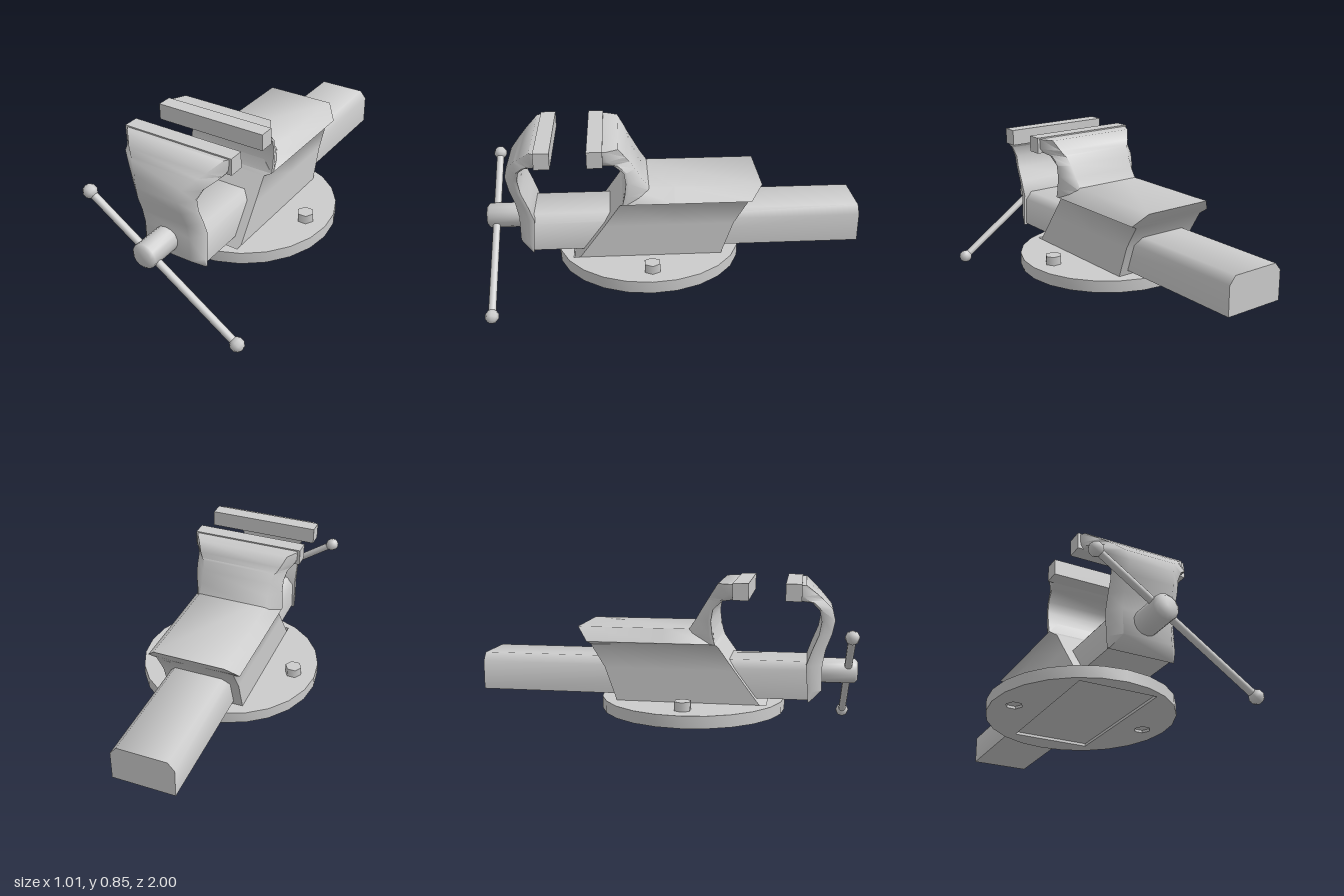
import * as THREE from 'three';
import { toCreasedNormals } from 'three/addons/utils/BufferGeometryUtils.js';

const CX = -0.0125; // centre line of the vice
const grey = new THREE.MeshStandardMaterial({ color: 0xcccccc });

function add(parent, name, geometry, x = 0, y = 0, z = 0) {
  const mesh = new THREE.Mesh(geometry, grey);
  mesh.name = name;
  mesh.position.set(x, y, z);
  parent.add(mesh);
  return mesh;
}

const points = (list) => list.map(([x, y]) => new THREE.Vector2(x, y));

// Regular polygon outline with a corner on +x
const polygon = (cx, cy, r, n) => points(Array.from({ length: n }, (_, i) => {
  const a = (i / n) * Math.PI * 2;
  return [cx + r * Math.cos(a), cy + r * Math.sin(a)];
}));

// Solid through horizontal six-sided sections [y, wideEndZ, shoulderZ, narrowEndZ, halfWidth, narrowHalfWidth]
function loft(sections, crease) {
  const rings = sections.map(([y, za, zs, zb, w, wb]) => {
    const s = Math.sign(zb - za);
    return [[w, za], [w, zs], [wb, zb], [-wb, zb], [-w, zs], [-w, za]].map(([x, z]) => [x * s, y, z]);
  });
  const pos = [];
  const tri = (a, b, c) => pos.push(...a, ...b, ...c);
  for (let r = 0; r < rings.length - 1; r++) {
    for (let i = 0; i < 6; i++) {
      const j = (i + 1) % 6, lo = rings[r], hi = rings[r + 1];
      tri(lo[i], hi[i], hi[j]);
      tri(lo[i], hi[j], lo[j]);
    }
  }
  const top = rings[rings.length - 1], bottom = rings[0];
  for (let i = 1; i < 5; i++) {
    tri(bottom[0], bottom[i], bottom[i + 1]);
    tri(top[0], top[i + 1], top[i]);
  }
  const g = new THREE.BufferGeometry();
  g.setAttribute('position', new THREE.Float32BufferAttribute(pos, 3));
  return toCreasedNormals(g, crease);
}

export function createModel() {
  const model = new THREE.Group();
  model.name = 'benchVice';

  // Round base, pierced underneath where the body and the bolts sit in it
  const disc = new THREE.Shape(polygon(0, -0.13, 0.4935, 24));
  disc.holes.push(new THREE.Path(points([[-0.2125, 0.235], [0.2125, 0.235], [0.2125, -0.535], [-0.2125, -0.535]])));
  for (const side of [-1, 1]) {
    disc.holes.push(new THREE.Path(polygon(side * 0.3725, -0.125, 0.045, 6)));
    const bolt = new THREE.CylinderGeometry(0.045, 0.045, 0.097, 6).rotateY(Math.PI / 2);
    add(model, side < 0 ? 'rightBolt' : 'leftBolt', bolt, CX + side * 0.3725, 0.2125, 0.125);
  }
  const base = new THREE.ExtrudeGeometry(disc, { depth: 0.064, bevelEnabled: false }).rotateX(-Math.PI / 2);
  add(model, 'base', toCreasedNormals(base, 0.5), CX, 0.15, 0);

  // Fixed body: sloping ends, overhanging top with bevelled long edges
  add(model, 'body', loft([
    [0.165, 0.535, 0, -0.235, 0.2125, 0.2125],
    [0.215, 0.5, 0, -0.25, 0.2125, 0.2125],
    [0.39, 0.37, 0, -0.312, 0.2125, 0.2125],
    [0.512, 0.283, 0, -0.387, 0.2125, 0.2125],
    [0.53, 0.27, 0, -0.4, 0.25, 0.25],
    [0.6, 0.255, 0, -0.46, 0.19, 0.19],
  ], 1.2), CX);

  // Fixed jaw
  add(model, 'fixedJawArm', loft([
    [0.53, 0.27, 0.25, 0.1, 0.25, 0.19],
    [0.58, 0.258, 0.24, 0.117, 0.25, 0.19],
    [0.65, 0.25, 0.235, 0.165, 0.25, 0.19],
    [0.71, 0.26, 0.245, 0.2, 0.25, 0.195],
    [0.755, 0.31, 0.29, 0.228, 0.258, 0.205],
    [0.765, 0.37, 0.315, 0.235, 0.27, 0.215],
    [0.79, 0.37, 0.34, 0.25, 0.288, 0.23],
    [0.843, 0.37, 0.35, 0.285, 0.29, 0.255],
  ], 1.1), CX);
  add(model, 'fixedJawPad', new THREE.BoxGeometry(0.606, 0.086, 0.08), CX, 0.807, 0.403);

  // Sliding bar with chamfered top corners
  const bar = new THREE.Shape(points([
    [-0.165, 0.24], [0.165, 0.24], [0.165, 0.395], [0.13, 0.436], [-0.13, 0.436], [-0.165, 0.395],
  ]));
  const barGeometry = new THREE.ExtrudeGeometry(bar, { depth: 1.755, bevelEnabled: false });
  add(model, 'slideBar', toCreasedNormals(barGeometry, 0.9), CX, 0, -1);

  // Moving jaw
  add(model, 'movingJawArm', loft([
    [0.232, 0.745, 0.75, 0.755, 0.178, 0.17],
    [0.285, 0.742, 0.765, 0.815, 0.178, 0.13],
    [0.42, 0.732, 0.76, 0.815, 0.178, 0.13],
    [0.5, 0.76, 0.78, 0.83, 0.178, 0.13],
    [0.58, 0.793, 0.812, 0.86, 0.178, 0.125],
    [0.65, 0.805, 0.825, 0.875, 0.18, 0.12],
    [0.71, 0.793, 0.805, 0.86, 0.213, 0.135],
    [0.755, 0.755, 0.765, 0.82, 0.263, 0.18],
    [0.765, 0.69, 0.735, 0.81, 0.275, 0.19],
    [0.79, 0.69, 0.715, 0.785, 0.288, 0.22],
    [0.843, 0.69, 0.705, 0.725, 0.29, 0.275],
  ], 1.1), CX);
  add(model, 'movingJawPad', new THREE.BoxGeometry(0.606, 0.086, 0.08), CX, 0.807, 0.664);

  // Screw head with softly bevelled end
  const profile = points([[0, 0], [0.067, 0], [0.067, 0.185], [0.05, 0.2], [0, 0.2]]);
  const screw = new THREE.LatheGeometry(profile, 14).rotateX(Math.PI / 2);
  add(model, 'screwHead', toCreasedNormals(screw, 1.0), -0.018, 0.37, 0.8);

  // Slanted handle with ball ends
  const ends = [new THREE.Vector3(-0.35, 0.598, 0.95), new THREE.Vector3(0.47, 0.038, 0.95)];
  const rod = new THREE.CylinderGeometry(0.02, 0.02, ends[0].distanceTo(ends[1]), 12);
  const handle = add(model, 'handle', rod);
  handle.position.copy(ends[0]).lerp(ends[1], 0.5);
  const direction = ends[0].clone().sub(ends[1]).normalize();
  handle.quaternion.setFromUnitVectors(new THREE.Vector3(0, 1, 0), direction);
  ends.forEach((p, i) => {
    const ball = add(model, i ? 'leftHandleBall' : 'rightHandleBall', new THREE.SphereGeometry(0.037, 8, 5), p.x, p.y, p.z);
    ball.quaternion.copy(handle.quaternion);
  });
  return model;
}
